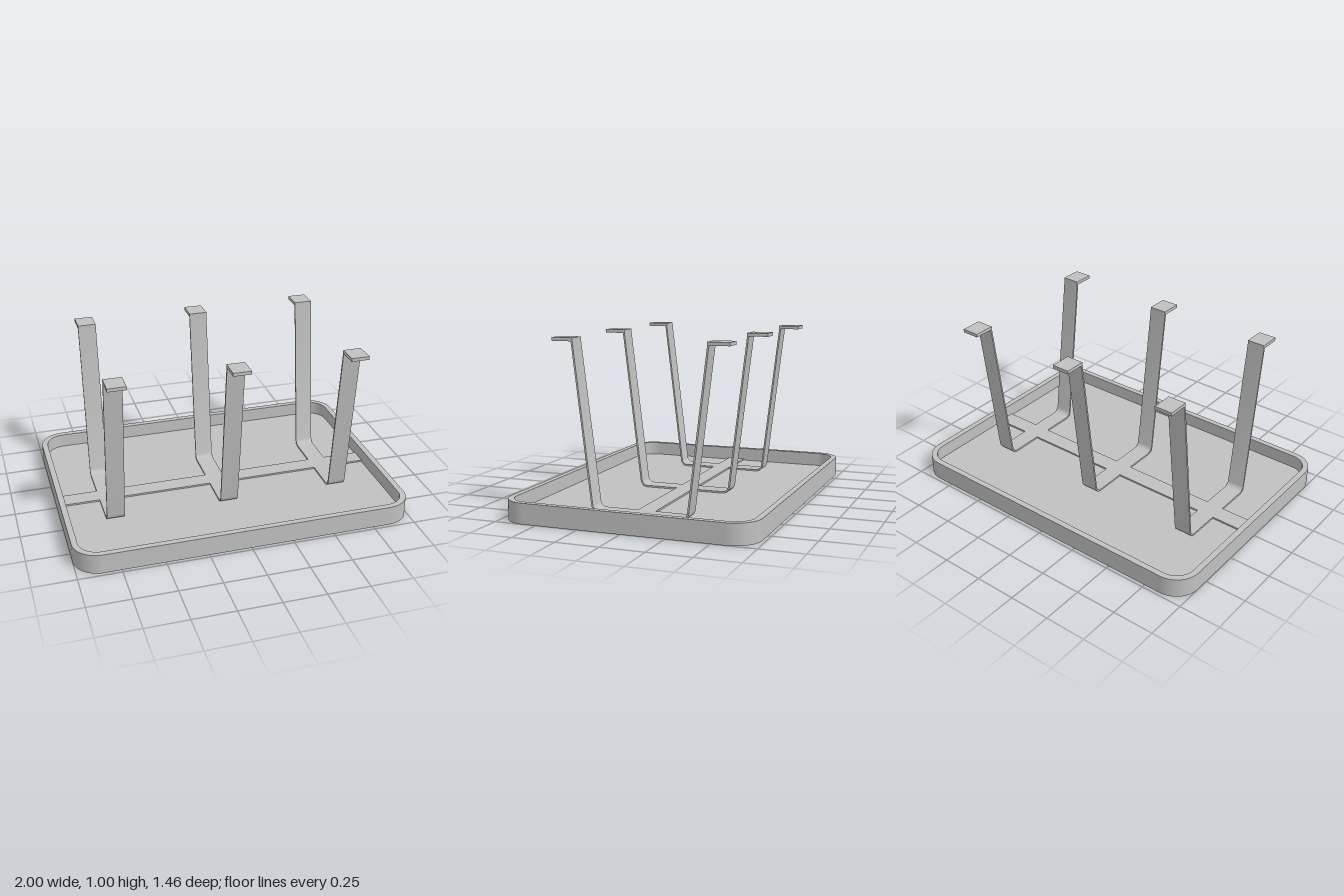
import * as THREE from 'three';
import { toCreasedNormals } from 'three/addons/utils/BufferGeometryUtils.js';

const FLOOR = 0.035;      // thickness of the tray floor
const RIM = 0.118;        // total tray height
const STRAP = 0.01;       // strap thickness
const WIDTH = 0.107;      // strap width

function roundedRect(target, w, d, r) {
  const x = w / 2, y = d / 2;
  target.moveTo(-x + r, -y);
  target.lineTo(x - r, -y);
  target.absarc(x - r, -y + r, r, -Math.PI / 2, 0);
  target.lineTo(x, y - r);
  target.absarc(x - r, y - r, r, 0, Math.PI / 2);
  target.lineTo(-x + r, y);
  target.absarc(-x + r, y - r, r, Math.PI / 2, Math.PI);
  target.lineTo(-x, -y + r);
  target.absarc(-x + r, -y + r, r, Math.PI, Math.PI * 1.5);
  return target;
}

function extrude(shape, depth) {
  const geometry = new THREE.ExtrudeGeometry(shape, { depth, bevelEnabled: false, curveSegments: 12 });
  return toCreasedNormals(geometry, 0.5);
}

// Half of the strap section as [z, y]: rounded bend, leaning leg and outward tab
function strapProfile() {
  const lean = 0.1215, inner = 0.035, outer = inner + STRAP;
  const cz = 0.244, cy = FLOOR + outer, steps = 10;
  const bend = (r) => Array.from({ length: steps + 1 }, (_, i) => {
    const a = -Math.PI / 2 + (Math.PI / 2 - lean) * i / steps;
    return [cz + r * Math.cos(a), cy + r * Math.sin(a)];
  });
  const under = [...bend(outer), [0.4, 0.98], [0.515, 0.98], [0.515, 1]];
  const over = [[0.39, 1], [0.39, 0.98], ...bend(inner).reverse()];
  const mirror = (list) => list.map(([z, y]) => [-z, y]).reverse();
  const outline = [...under, ...over, ...mirror(over), ...mirror(under)];
  return new THREE.Shape(outline.map(([z, y]) => new THREE.Vector2(z, y)));
}

export function createModel() {
  const model = new THREE.Group();
  model.name = 'trayWithStraps';
  const grey = new THREE.MeshStandardMaterial({ color: 0xc0c0c0 });
  grey.name = 'grey';

  const add = (name, geometry, x = 0, y = 0, z = 0) => {
    const mesh = new THREE.Mesh(geometry, grey);
    mesh.name = name;
    mesh.position.set(x, y, z);
    model.add(mesh);
  };

  // Tray: solid floor with a raised rim
  const floor = roundedRect(new THREE.Shape(), 2, 1.46, 0.15);
  add('trayFloor', extrude(floor, FLOOR).rotateX(-Math.PI / 2));
  const rim = roundedRect(new THREE.Shape(), 2, 1.46, 0.15);
  rim.holes.push(roundedRect(new THREE.Path(), 1.93, 1.39, 0.115));
  add('trayRim', extrude(rim, RIM - FLOOR).rotateX(-Math.PI / 2), 0, FLOOR);

  // Three bent straps, each making a front and a back leg
  const strap = extrude(strapProfile(), WIDTH).rotateY(-Math.PI / 2).translate(WIDTH / 2, 0, 0);
  const centres = [-0.692, 0, 0.692];
  centres.forEach((x) => add('bentStrap', strap, x));

  // Flat bar on the floor, filling the gaps between straps and rim
  const starts = [-0.965, ...centres.map((x) => x + WIDTH / 2)];
  const ends = [...centres.map((x) => x - WIDTH / 2), 0.965];
  starts.forEach((start, i) => {
    const bar = new THREE.BoxGeometry(ends[i] - start, STRAP, 0.105);
    add('floorBar', bar, (start + ends[i]) / 2, FLOOR + STRAP / 2);
  });

  return model;
}
